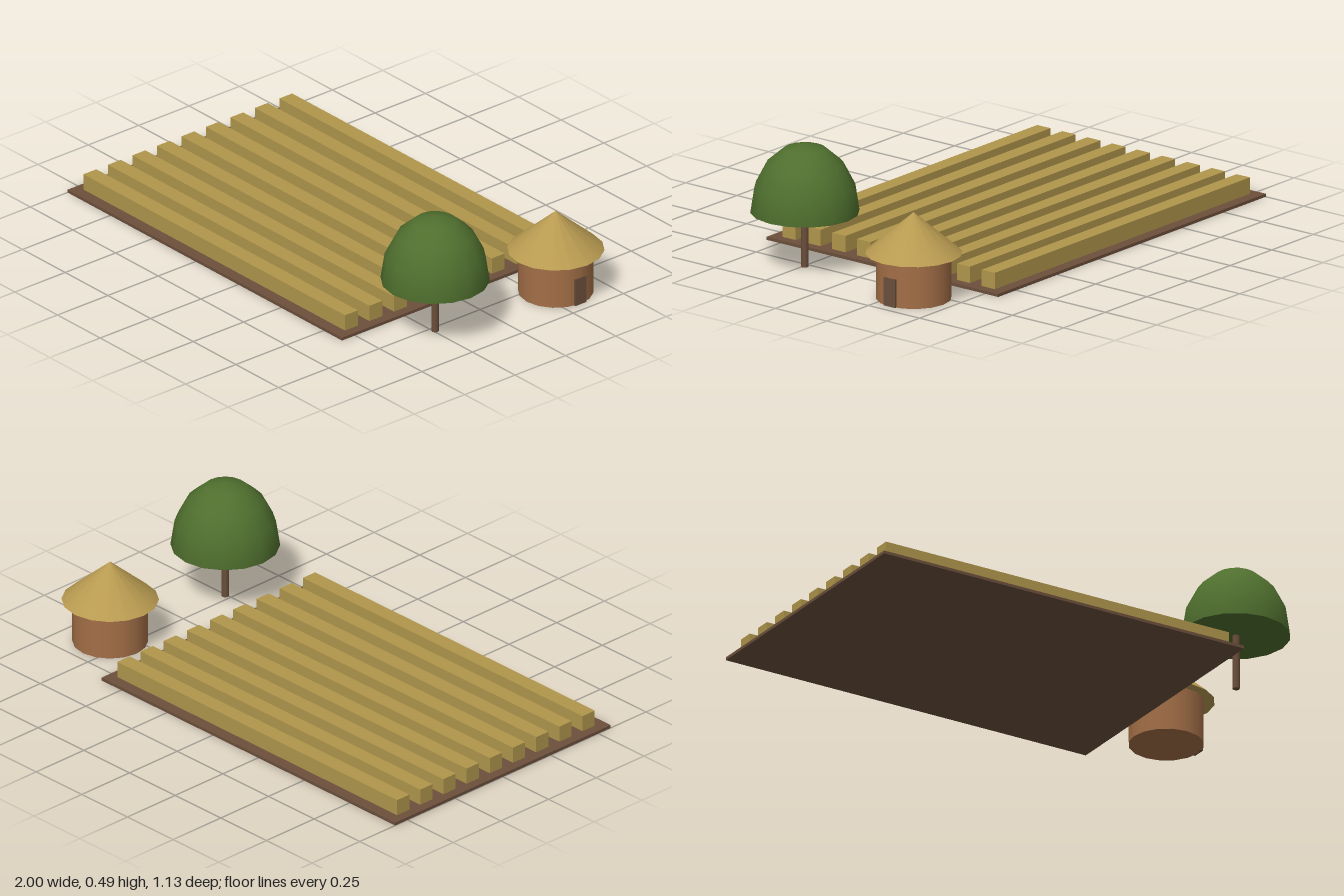
import * as THREE from 'three';

const material = (name, color) => {
  const m = new THREE.MeshStandardMaterial({ color });
  m.name = name;
  return m;
};

export function createModel() {
  const soil = material('soil and dark wood', 0x6b4f3b);
  const crop = material('ripe crop', 0xb0964c);
  const thatch = material('thatch', 0xb89a50);
  const clay = material('clay wall', 0xa36f47);
  const leaf = material('leaves', 0x4f6f2e);

  const part = (parent, name, geometry, mat, x, y, z) => {
    const mesh = new THREE.Mesh(geometry, mat);
    mesh.name = name;
    mesh.position.set(x, y, z);
    parent.add(mesh);
    return mesh;
  };
  const group = (parent, name, x, z) => {
    const g = new THREE.Group();
    g.name = name;
    g.position.set(x, 0, z);
    parent.add(g);
    return g;
  };

  const model = new THREE.Group();
  model.name = 'farm';

  // Field with nine raised crop rows
  const field = group(model, 'field', -0.196, 0);
  part(field, 'soilBed', new THREE.BoxGeometry(1.608, 0.012, 1.13), soil, 0, 0.006, 0);
  const rowGeometry = new THREE.BoxGeometry(1.532, 0.065, 0.064);
  for (let i = -4; i <= 4; i++) {
    part(field, 'cropRow', rowGeometry, crop, 0, 0.0445, i * 0.1215);
  }

  // Round hut with a conical roof and a door facing +x
  const hut = group(model, 'hut', 0.815, -0.321);
  part(hut, 'wall', new THREE.CylinderGeometry(0.144, 0.144, 0.18, 16), clay, 0, 0.09, 0);
  part(hut, 'roof', new THREE.ConeGeometry(0.185, 0.161, 16), thatch, 0, 0.2595, 0);
  part(hut, 'door', new THREE.BoxGeometry(0.012, 0.112, 0.056), soil, 0.141, 0.056, 0);

  // Tree with a domed crown, closed underneath
  const tree = group(model, 'tree', 0.774, 0.243);
  part(tree, 'trunk', new THREE.CylinderGeometry(0.0147, 0.0147, 0.24, 8), soil, 0, 0.12, 0);
  const dome = new THREE.SphereGeometry(0.208, 16, 4, 0, Math.PI * 2, 0, Math.PI / 2);
  dome.scale(1, 0.27 / 0.208, 1);
  part(tree, 'crown', dome, leaf, 0, 0.22, 0);
  const underside = new THREE.CircleGeometry(0.208, 16).rotateX(Math.PI / 2);
  part(tree, 'crownUnderside', underside, leaf, 0, 0.22, 0);

  return model;
}
